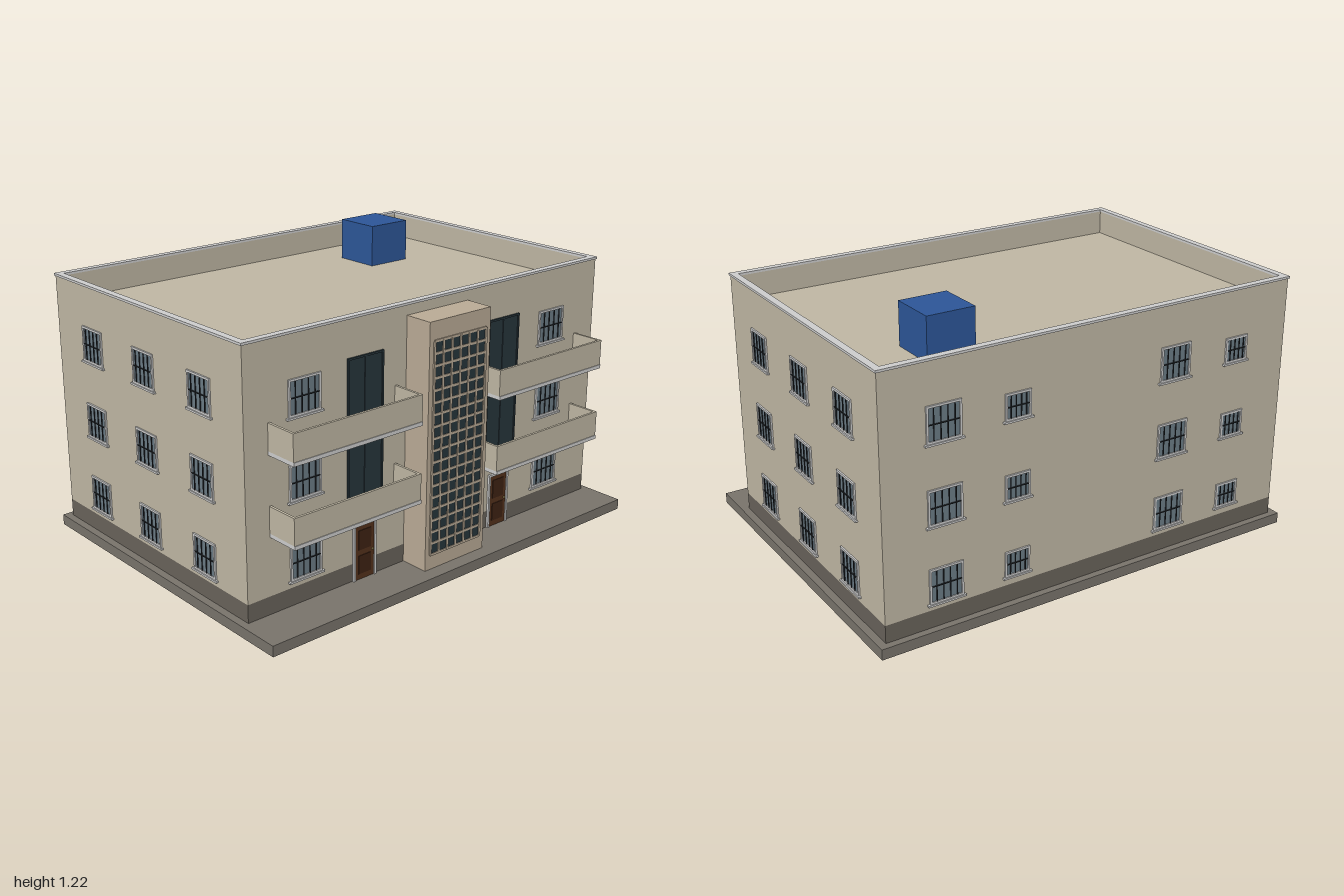
import * as THREE from 'three';

const mat = (color) => new THREE.MeshStandardMaterial({ color });
const M = {
  wall: mat(0xbdb5a2), tower: mat(0xb8a994), slab: mat(0x77726a), plinth: mat(0x676159),
  trim: mat(0xc4c4c0), glass: mat(0x6a7a84), bar: mat(0x22262a), dark: mat(0x26343a),
  wood: mat(0x53301b), panel: mat(0x3d2213), tank: mat(0x2c5596), knob: mat(0xa8905a),
};

// Box given by its min and max on each axis
function box(parent, name, material, x0, x1, y0, y1, z0, z1) {
  const m = new THREE.Mesh(new THREE.BoxGeometry(x1 - x0, y1 - y0, z1 - z0), material);
  m.position.set((x0 + x1) / 2, (y0 + y1) / 2, (z0 + z1) / 2);
  m.name = name;
  parent.add(m);
  return m;
}

// Rectangular frame in the xy plane, standing out to depth d
function frame(parent, name, material, w, h, t, d) {
  box(parent, name, material, -w / 2, w / 2, h / 2 - t, h / 2, 0, d);
  box(parent, name, material, -w / 2, w / 2, -h / 2, -h / 2 + t, 0, d);
  for (const s of [-1, 1]) {
    const x = s * (w / 2 - t / 2);
    box(parent, name, material, x - t / 2, x + t / 2, -h / 2 + t, h / 2 - t, 0, d);
  }
}

// Framed window with sill and grille, facing +z
function makeWindow(w, h) {
  const g = new THREE.Group();
  g.name = 'window';
  box(g, 'glass', M.glass, -w / 2 + 0.005, w / 2 - 0.005, -h / 2 + 0.005, h / 2 - 0.005, 0, 0.003);
  frame(g, 'windowFrame', M.trim, w, h, 0.009, 0.007);
  box(g, 'sill', M.trim, -w / 2 - 0.009, w / 2 + 0.009, -h / 2 - 0.008, -h / 2, 0, 0.012);
  for (let i = 1; i <= 4; i++) {
    const x = -w / 2 + (w * i) / 5;
    box(g, 'grilleBar', M.bar, x - 0.0015, x + 0.0015, -h / 2 + 0.009, h / 2 - 0.009, 0.005, 0.009);
  }
  box(g, 'grilleRail', M.bar, -w / 2 + 0.009, w / 2 - 0.009, -0.002, 0.002, 0.004, 0.008);
  return g;
}

// Horizontal rectangular ring, used round the roof
function roofRing(name, material, x, zBack, zFront, t, y, h) {
  const s = new THREE.Shape([[-x, -zFront], [x, -zFront], [x, -zBack], [-x, -zBack]].map((p) => new THREE.Vector2(...p)));
  const a = x - t, b = zFront - t, c = zBack + t;
  s.holes.push(new THREE.Path([[-a, -b], [-a, -c], [a, -c], [a, -b]].map((p) => new THREE.Vector2(...p))));
  const m = new THREE.Mesh(new THREE.ExtrudeGeometry(s, { depth: h, bevelEnabled: false }), material);
  m.rotation.x = -Math.PI / 2;
  m.position.y = y;
  m.name = name;
  return m;
}

// Balcony with three low walls, open to the house
function makeBalcony() {
  const g = new THREE.Group();
  g.name = 'balcony';
  const w = 0.32, d = 0.147, t = 0.011;
  box(g, 'balconyFloor', M.trim, -w, w, 0, 0.016, 0, d + 0.003);
  box(g, 'balconyFront', M.wall, -w, w, 0.016, 0.127, d - t, d);
  for (const s of [-1, 1]) {
    const x = s * (w - t / 2);
    box(g, 'balconySide', M.wall, x - t / 2, x + t / 2, 0.016, 0.127, 0, d - t);
  }
  return g;
}

// Dark double door to a balcony
function makeBalconyDoor() {
  const g = new THREE.Group();
  g.name = 'balconyDoor';
  const w = 0.184, h = 0.274;
  box(g, 'doorGlass', M.dark, -w / 2, w / 2, -h / 2, h / 2, 0, 0.004);
  frame(g, 'doorFrame', M.dark, w, h, 0.008, 0.008);
  box(g, 'doorStile', M.dark, -0.005, 0.005, -h / 2, h / 2, 0, 0.007);
  return g;
}

// Panelled wooden entrance door
function makeEntrance() {
  const g = new THREE.Group();
  g.name = 'entranceDoor';
  box(g, 'doorLeaf', M.wood, -0.05, 0.05, 0, 0.235, 0, 0.005);
  for (const s of [-1, 1]) {
    box(g, 'doorJamb', M.trim, s * 0.055 - 0.005, s * 0.055 + 0.005, 0, 0.245, 0, 0.01);
  }
  box(g, 'doorHead', M.trim, -0.05, 0.05, 0.235, 0.245, 0, 0.01);
  box(g, 'doorPanel', M.panel, -0.033, 0.033, 0.025, 0.105, 0.004, 0.008);
  box(g, 'doorPanel', M.panel, -0.033, 0.033, 0.13, 0.215, 0.004, 0.008);
  box(g, 'doorKnob', M.knob, 0.038, 0.044, 0.112, 0.12, 0.004, 0.012);
  return g;
}

export function createModel() {
  const model = new THREE.Group();
  model.name = 'apartmentBuilding';
  const X = 0.967, F = 0.565, B = -0.727, ROOF = 1.035;
  const put = (part, x, y, z, turn = 0) => {
    part.position.set(x, y, z);
    part.rotation.y = turn;
    model.add(part);
  };

  // Ground slab, plinth, walls and roof edge
  box(model, 'groundSlab', M.slab, -1, 1, 0, 0.046, -0.757, 0.757);
  box(model, 'plinth', M.plinth, -X, X, 0.046, 0.123, B, F);
  box(model, 'walls', M.wall, -X, X, 0.123, ROOF, B, F);
  model.add(roofRing('parapet', M.wall, X, B, F, 0.022, ROOF, 0.107));
  model.add(roofRing('coping', M.trim, X + 0.005, B - 0.005, F + 0.005, 0.031, 1.142, 0.01));
  box(model, 'waterTank', M.tank, 0.427, 0.64, ROOF, 1.22, -0.51, -0.297);

  // Stair tower with its lattice of small panes
  const TF = 0.693, gx = 0.142, g0 = 0.112, g1 = 1.02, cols = 6, rows = 18, bar = 0.005;
  box(model, 'stairTower', M.tower, -0.168, 0.168, 0.046, 1.1, F, TF);
  box(model, 'stairGlass', M.dark, -gx, gx, g0, g1, TF, TF + 0.002);
  for (let i = 0; i <= cols; i++) {
    const x = -gx + (2 * gx * i) / cols;
    box(model, 'latticeUpright', M.tower, x - bar, x + bar, g0, g1, TF, TF + 0.006);
  }
  for (let i = 0; i <= rows; i++) {
    const y = g0 + ((g1 - g0) * i) / rows;
    box(model, 'latticeRail', M.tower, -gx, gx, y - bar, y + bar, TF, TF + 0.005);
  }

  // Windows on every floor
  for (const y of [0.227, 0.558, 0.895]) {
    for (const s of [-1, 1]) {
      put(makeWindow(0.155, 0.148), s * 0.685, y, F);
      for (const z of [0.297, -0.08, -0.455]) put(makeWindow(0.144, 0.15), s * X, y, z, (s * Math.PI) / 2);
    }
    for (const x of [0.7, -0.379]) put(makeWindow(0.15, 0.15), x, y, B, Math.PI);
    for (const x of [0.378, -0.7]) put(makeWindow(0.115, 0.11), x, y - 0.01, B, Math.PI);
  }

  // Balconies, their doors and the two entrances
  for (const s of [-1, 1]) {
    for (const y of [0.369, 0.699]) {
      put(makeBalcony(), s * 0.537, y, F);
      put(makeBalconyDoor(), s * 0.385, y + 0.153, F);
    }
    put(makeEntrance(), s * 0.387, 0.046, F);
  }
  return model;
}
